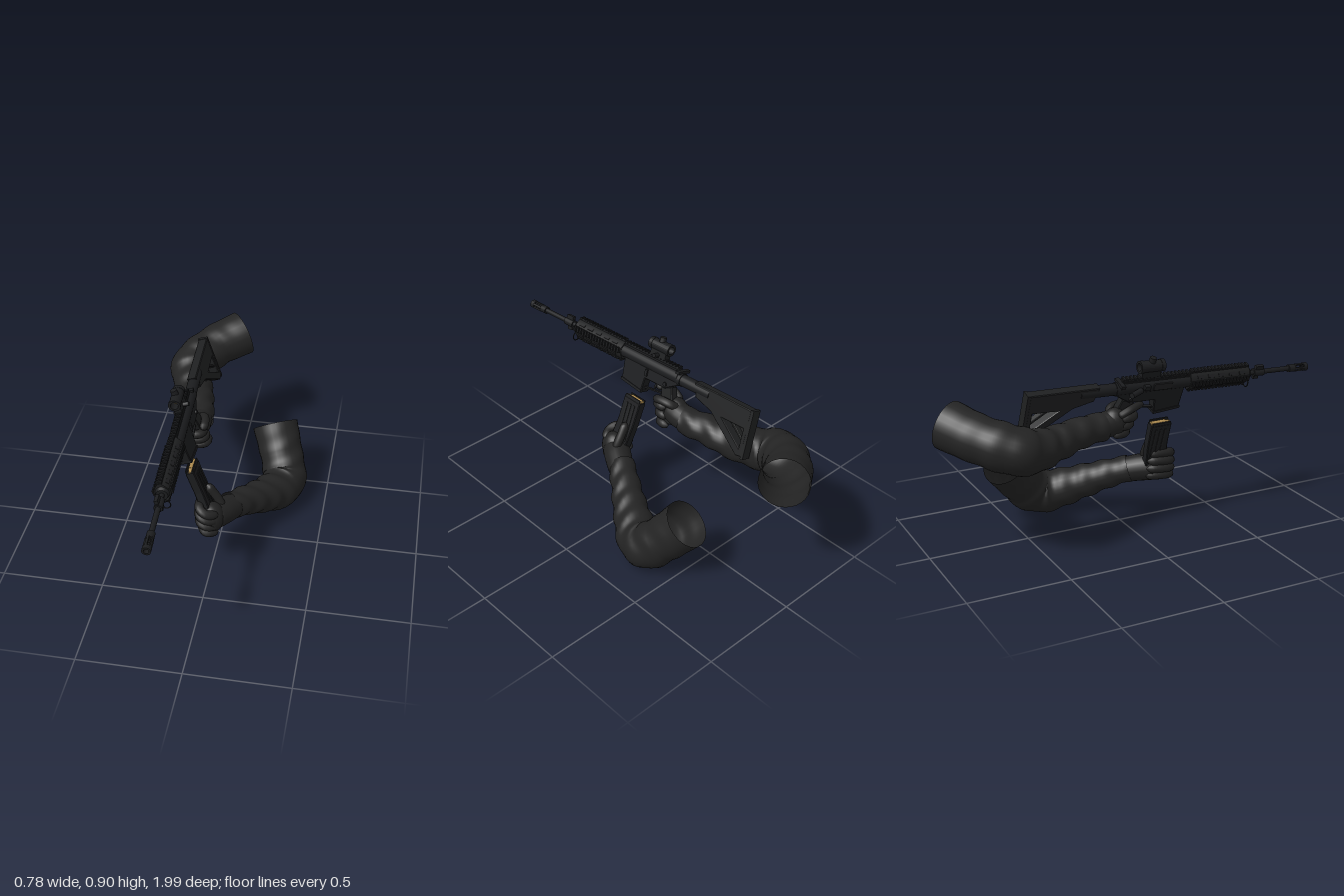
import * as THREE from 'three';
import { mergeGeometries, mergeVertices } from 'three/addons/utils/BufferGeometryUtils.js';

const mat = (name, color, extra = {}) =>
  Object.assign(new THREE.MeshStandardMaterial({ color, ...extra }), { name });

export function createModel() {
  const metal = mat('gunmetal', 0x1b1c1e);
  const polymer = mat('black polymer', 0x1f2021);
  const cloth = mat('dark sleeve cloth', 0x242424, { side: THREE.DoubleSide });
  const leather = mat('dark glove', 0x222222);
  const brass = mat('brass', 0xb08d50);

  const model = new THREE.Group();
  const add = (parent, name, geo, material, x = 0, y = 0, z = 0) => {
    const m = new THREE.Mesh(geo, material);
    m.name = name;
    m.position.set(x, y, z);
    parent.add(m);
    return m;
  };
  const box = (w, h, d) => new THREE.BoxGeometry(w, h, d);
  // cylinder lying along z, given its two ends
  const rod = (r, z0, z1, sides = 20, rEnd = r) =>
    new THREE.CylinderGeometry(rEnd, r, z1 - z0, sides).rotateX(Math.PI / 2).translate(0, 0, (z0 + z1) / 2);
  // hollow ring along z
  const ring = (ro, ri, z0, z1) => {
    const s = new THREE.Shape().absarc(0, 0, ro, 0, Math.PI * 2);
    s.holes.push(new THREE.Path().absarc(0, 0, ri, 0, Math.PI * 2, true));
    return new THREE.ExtrudeGeometry(s, { depth: z1 - z0, bevelEnabled: false, curveSegments: 12 }).translate(0, 0, z0);
  };
  // side profile of (z, y) points extruded across x
  const slab = (pts, width, hole, bevel = 0.004) => {
    const s = new THREE.Shape(pts.map(p => new THREE.Vector2(...p)));
    if (hole) s.holes.push(new THREE.Path(hole.map(p => new THREE.Vector2(...p))));
    const depth = width - 2 * bevel;
    return new THREE.ExtrudeGeometry(s, { depth, bevelSize: bevel, bevelThickness: bevel, bevelOffset: -bevel, bevelSegments: 1 })
      .translate(0, 0, -depth / 2).rotateY(-Math.PI / 2);
  };
  // tube through points with a radius at each point, optional folds or rounded ends
  const loft = (pts, radii, { steps = 24, sides = 12, folds = 0, round = false } = {}) => {
    const curve = new THREE.CatmullRomCurve3(pts.map(p => new THREE.Vector3(...p)));
    const geo = new THREE.TubeGeometry(curve, steps, 1, sides);
    const pos = geo.attributes.position, v = new THREE.Vector3();
    for (let i = 0; i <= steps; i++) {
      const s = i / steps, c = curve.getPointAt(s);
      const t = curve.getUtoTmapping(s) * (radii.length - 1);
      const k = Math.min(Math.floor(t), radii.length - 2);
      let r = THREE.MathUtils.lerp(radii[k], radii[k + 1], t - k);
      if (round) r *= Math.max(0.02, Math.sqrt(1 - Math.max(0, 1 - Math.min(s, 1 - s) / 0.16) ** 2));
      for (let j = 0; j <= sides; j++) {
        const a = (j / sides) * Math.PI * 2, n = i * (sides + 1) + j;
        const f = 1 + folds * (1 - s * s) * Math.sin(s * 46 + 1.8 * Math.sin(a) + 1.3 * Math.cos(2 * a));
        v.fromBufferAttribute(pos, n).sub(c).multiplyScalar(r * f).add(c);
        pos.setXYZ(n, v.x, v.y, v.z);
      }
    }
    geo.deleteAttribute('uv');
    geo.deleteAttribute('normal');
    const out = mergeVertices(geo, 1e-5);
    out.computeVertexNormals();
    return out;
  };
  const finger = (parent, name, pts, r) =>
    add(parent, name, loft(pts, pts.map(() => r), { steps: 18, sides: 10, round: true }), leather);
  const ellipsoid = (rx, ry, rz) => new THREE.SphereGeometry(1, 20, 14).scale(rx, ry, rz);
  // toothed accessory rail facing up, starting at height y
  const rail = (y, z0, z1, count, w = 0.032) => {
    const parts = [box(w * 0.8, 0.012, z1 - z0).translate(0, y + 0.004, (z0 + z1) / 2)];
    const pitch = (z1 - z0) / count;
    for (let i = 0; i < count; i++)
      parts.push(box(w, 0.009, pitch * 0.55).translate(0, y + 0.0125, z0 + (i + 0.5) * pitch));
    return mergeGeometries(parts);
  };

  // ---- rifle, built along z with the bore on its axis
  const rifle = new THREE.Group();
  rifle.name = 'rifle';
  rifle.position.set(-0.17, 0.753, 0);
  rifle.rotation.set(0.045, 0.031, 0.31, 'YXZ');
  model.add(rifle);

  // barrel and muzzle
  add(rifle, 'barrel', rod(0.0125, 0.6, 0.93), metal);
  add(rifle, 'muzzleCollar', rod(0.019, 0.885, 0.925), metal);
  add(rifle, 'muzzleRing', ring(0.021, 0.012, 0.975, 0.998), metal);
  for (let i = 0; i < 5; i++) {
    const a = (i / 5) * Math.PI * 2;
    add(rifle, 'muzzleProng', box(0.011, 0.007, 0.06).rotateZ(a), metal, -Math.sin(a) * 0.0165, Math.cos(a) * 0.0165, 0.95);
  }
  add(rifle, 'gasBlock', rod(0.02, 0.67, 0.73), metal);
  add(rifle, 'gasBlockTop', box(0.018, 0.025, 0.045), metal, 0, 0.025, 0.7);
  add(rifle, 'bayonetLug', box(0.014, 0.02, 0.03), metal, 0, -0.025, 0.69);
  add(rifle, 'slingLoop', new THREE.TorusGeometry(0.022, 0.003, 6, 16), metal, 0, -0.054, 0.64);

  // handguard, taller than wide, with four rails and vent slots
  add(rifle, 'handguard', rod(0.044, 0.285, 0.625, 8).rotateZ(Math.PI / 8).scale(0.86, 1.1, 1), polymer);
  add(rifle, 'handguardCap', rod(0.036, 0.62, 0.64, 16, 0.028), metal);
  for (let q = 0; q < 4; q++) {
    add(rifle, 'handguardRail', rail(q % 2 ? 0.03 : 0.041, 0.29, 0.625, 17, 0.03).rotateZ(q * Math.PI / 2), metal);
    for (let i = 0; i < 5; i++)
      add(rifle, 'ventSlot', box(0.016, 0.006, 0.035).translate(0, 0.039, 0.34 + i * 0.06)
        .rotateZ(Math.PI / 4 + q * Math.PI / 2), metal);
  }

  // receiver
  add(rifle, 'upperReceiver', rod(0.034, -0.095, 0.288), metal);
  add(rifle, 'receiverTop', box(0.032, 0.05, 0.37), metal, 0, 0.013, 0.098);
  add(rifle, 'topRail', rail(0.036, -0.085, 0.285, 18), metal);
  add(rifle, 'lowerReceiver', slab([[0.262, -0.01], [0.255, -0.135], [0.115, -0.155], [0.105, -0.078],
    [-0.03, -0.078], [-0.105, -0.035], [-0.105, 0]], 0.05), metal);
  add(rifle, 'magazineWellRim', box(0.057, 0.014, 0.145).rotateX(-0.13), metal, 0, -0.141, 0.185);
  add(rifle, 'ejectionCover', box(0.008, 0.034, 0.1), polymer, -0.033, 0.004, 0.13);
  add(rifle, 'caseDeflector', box(0.02, 0.022, 0.03), metal, -0.038, 0.01, 0.04);
  const assist = add(rifle, 'forwardAssist', rod(0.014, -0.045, 0.03, 14), metal, -0.055, 0, -0.02);
  assist.rotation.y = 0.45;
  add(rifle, 'chargingHandle', box(0.08, 0.014, 0.022), metal, -0.008, 0.03, -0.095);
  add(rifle, 'selector', new THREE.CylinderGeometry(0.01, 0.01, 0.066, 12).rotateZ(Math.PI / 2), metal, 0, -0.055, -0.03);
  add(rifle, 'boltCatch', box(0.01, 0.035, 0.015), metal, 0.028, -0.045, 0.1);
  add(rifle, 'trigger', box(0.008, 0.04, 0.01).rotateX(-0.25), metal, 0, -0.092, 0.045);
  add(rifle, 'triggerGuard', box(0.018, 0.007, 0.125).rotateX(0.12), metal, 0, -0.122, 0.055);
  add(rifle, 'pistolGrip', slab([[0, -0.07], [-0.07, -0.06], [-0.125, -0.235], [-0.06, -0.25], [-0.022, -0.15]], 0.042), polymer);

  // stock
  add(rifle, 'bufferTube', rod(0.029, -0.3, -0.09), metal, 0, -0.005);
  add(rifle, 'tubeNut', rod(0.033, -0.115, -0.095), metal, 0, -0.005);
  add(rifle, 'stock', slab([[-0.205, 0.026], [-0.56, 0.023], [-0.56, -0.21], [-0.525, -0.216], [-0.33, -0.074], [-0.225, -0.045]],
    0.048, [[-0.4, -0.076], [-0.535, -0.175], [-0.535, -0.076]]), polymer);
  add(rifle, 'stockStrut', slab([[-0.44, -0.069], [-0.46, -0.069], [-0.545, -0.134], [-0.545, -0.149]], 0.03, null, 0.002), polymer);
  add(rifle, 'buttPad', box(0.05, 0.245, 0.016), polymer, 0, -0.097, -0.565);

  // optic with the lens set back inside its tube
  const optic = new THREE.Group();
  optic.name = 'optic';
  rifle.add(optic);
  add(optic, 'opticMount', box(0.036, 0.034, 0.1), metal, 0, 0.068, 0.06);
  add(optic, 'mountKnob', new THREE.CylinderGeometry(0.011, 0.011, 0.03, 12).rotateZ(Math.PI / 2), metal, 0.032, 0.062, 0.06);
  add(optic, 'opticTube', ring(0.028, 0.019, -0.005, 0.125), metal, 0, 0.105, 0);
  for (const z of [-0.005, 0.105]) add(optic, 'opticRim', ring(0.03, 0.019, z, z + 0.02), metal, 0, 0.105, 0);
  add(optic, 'frontLens', rod(0.02, 0.075, 0.08), brass, 0, 0.105, 0);
  add(optic, 'rearLens', rod(0.02, 0.03, 0.035), metal, 0, 0.105, 0);
  add(optic, 'topTurret', new THREE.CylinderGeometry(0.016, 0.018, 0.03, 14), metal, 0, 0.137, 0.06);

  // ---- loose magazine held in the left hand
  const magazine = new THREE.Group();
  magazine.name = 'magazine';
  magazine.position.set(-0.113, 0.527, 0.163);
  magazine.rotation.z = 0.36;
  model.add(magazine);
  add(magazine, 'magazineBody', slab([[-0.056, 0], [0.056, 0], [0.058, -0.12], [0.078, -0.275], [-0.035, -0.29], [-0.052, -0.13]], 0.044), metal);
  for (const side of [-1, 1]) for (const z of [-0.025, 0, 0.025])
    add(magazine, 'magazineRib', box(0.006, 0.2, 0.01), polymer, side * 0.022, -0.125, z);
  for (const side of [-1, 1])
    add(magazine, 'feedLip', box(0.006, 0.018, 0.1), metal, side * 0.018, 0.004, 0);
  add(magazine, 'cartridgeCase', rod(0.012, -0.05, 0.025, 12), brass, 0, 0.002, 0);
  add(magazine, 'bulletTip', rod(0.011, 0.025, 0.054, 12, 0.004), brass, 0, 0.002, 0);

  // ---- left arm and hand
  const leftArm = new THREE.Group();
  leftArm.name = 'leftArm';
  model.add(leftArm);
  add(leftArm, 'leftSleeve', loft(
    [[0.055, 0.245, 0.085], [0.12, 0.208, -0.02], [0.195, 0.158, -0.14], [0.27, 0.113, -0.285], [0.279, 0.13, -0.355], [0.25, 0.21, -0.435], [0.2, 0.33, -0.53]],
    [0.066, 0.073, 0.088, 0.11, 0.115, 0.112, 0.119], { steps: 90, sides: 28, folds: 0.055 }), cloth);
  add(leftArm, 'leftGloveCuff', loft([[-0.02, 0.262, 0.21], [0.03, 0.25, 0.135], [0.085, 0.23, 0.045]], [0.07, 0.069, 0.062],
    { steps: 16, sides: 20, round: true }), leather);
  add(leftArm, 'leftPalm', ellipsoid(0.062, 0.08, 0.07), leather, -0.008, 0.265, 0.205);
  for (let i = 0; i < 4; i++) {
    const y = 0.343 - i * 0.041, x = [0.006, 0.004, 0.007, 0.022][i];
    finger(leftArm, 'leftFinger', [[0.03, y - 0.035 + i * 0.006, 0.235], [-0.025, y - 0.018 + i * 0.004, 0.266], [-0.067 + x, y, 0.25],
      [-0.073 + x, y + 0.006, 0.19], [-0.055 + x, y + 0.008, 0.125]], 0.0225);
  }
  finger(leftArm, 'leftThumb', [[0.045, 0.25, 0.16], [0.022, 0.32, 0.15], [-0.01, 0.375, 0.15], [-0.042, 0.424, 0.155]], 0.022);

  // ---- right arm and hand
  const rightArm = new THREE.Group();
  rightArm.name = 'rightArm';
  model.add(rightArm);
  add(rightArm, 'rightSleeve', loft(
    [[-0.135, 0.565, -0.165], [-0.165, 0.562, -0.3], [-0.208, 0.546, -0.45], [-0.262, 0.552, -0.585], [-0.264, 0.573, -0.665], [-0.165, 0.62, -0.8], [-0.037, 0.658, -0.89]],
    [0.068, 0.074, 0.085, 0.105, 0.115, 0.112, 0.118], { steps: 90, sides: 28, folds: 0.055 }), cloth);
  add(rightArm, 'rightGloveCuff', loft([[-0.14, 0.585, -0.06], [-0.138, 0.575, -0.13], [-0.14, 0.565, -0.21]], [0.06, 0.064, 0.062],
    { steps: 16, sides: 20, round: true }), leather);
  add(rightArm, 'rightPalm', ellipsoid(0.055, 0.07, 0.065), leather, -0.145, 0.583, -0.1);
  for (let i = 0; i < 3; i++) {
    const y = 0.605 - i * 0.04, z = -i * 0.018, x = i * 0.008;
    finger(rightArm, 'rightFinger', [[-0.182 + x, y, -0.09 + z], [-0.182 + x, y, -0.03 + z], [-0.14 + x, y - 0.004, 0.002 + z],
      [-0.1 + x, y - 0.004, -0.015 + z], [-0.095 + x, y, -0.075 + z]], 0.022);
  }
  finger(rightArm, 'rightTriggerFinger', [[-0.18, 0.615, -0.1], [-0.187, 0.645, -0.04], [-0.17, 0.655, 0.01], [-0.14, 0.653, 0.045]], 0.019);
  finger(rightArm, 'rightThumb', [[-0.14, 0.61, -0.13], [-0.1, 0.64, -0.1], [-0.088, 0.645, -0.05], [-0.09, 0.632, 0]], 0.021);

  return model;
}
